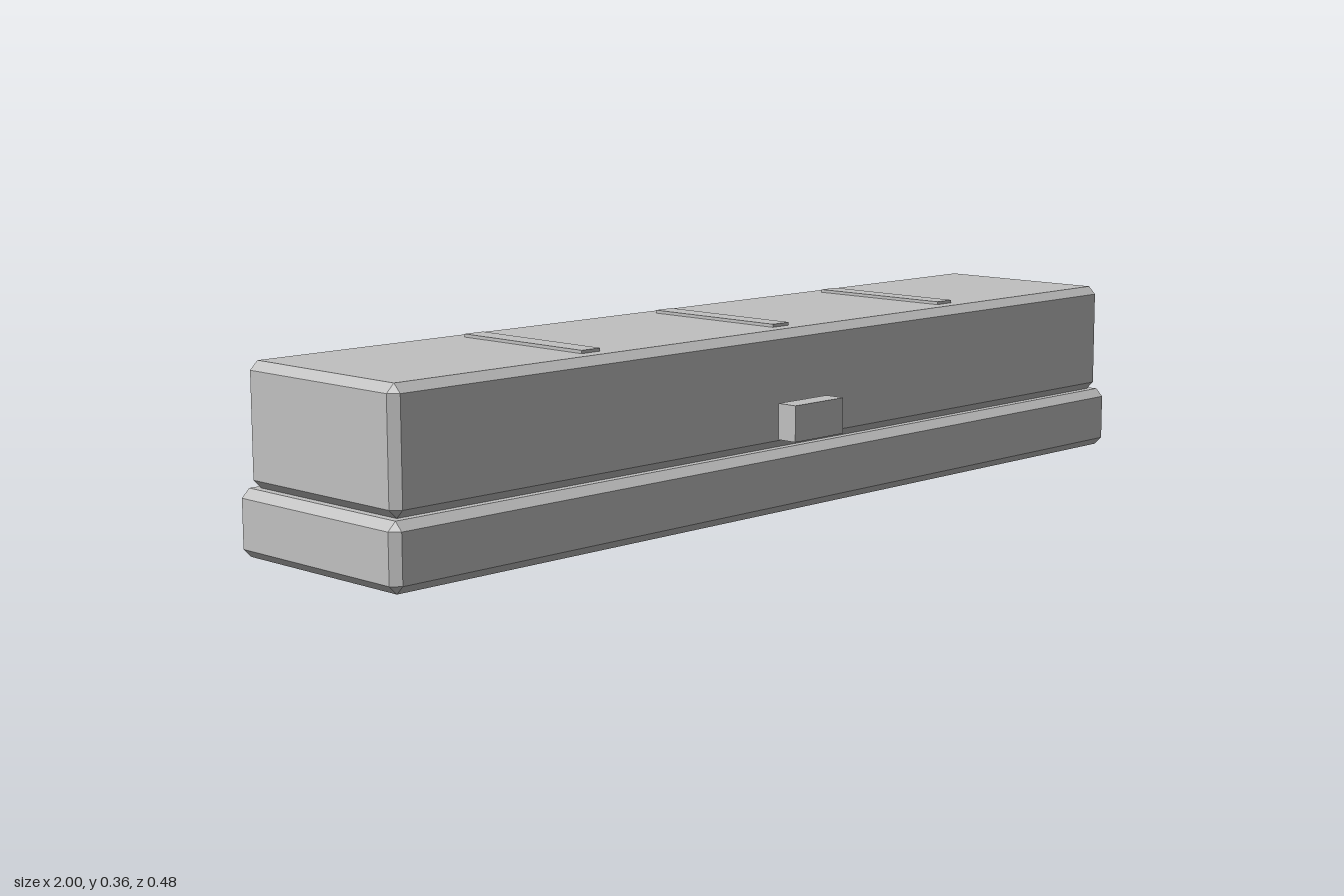
import * as THREE from 'three';
import { ConvexGeometry } from 'three/addons/geometries/ConvexGeometry.js';

// Box with all edges and corners cut by a flat chamfer
function chamferedBox(w, h, d, c) {
  const points = [];
  for (const sx of [-1, 1]) for (const sy of [-1, 1]) for (const sz of [-1, 1]) {
    const x = w / 2, y = h / 2, z = d / 2;
    points.push(
      new THREE.Vector3(sx * x, sy * (y - c), sz * (z - c)),
      new THREE.Vector3(sx * (x - c), sy * y, sz * (z - c)),
      new THREE.Vector3(sx * (x - c), sy * (y - c), sz * z)
    );
  }
  return new ConvexGeometry(points);
}

export function createModel() {
  const model = new THREE.Group();
  model.name = 'longCase';
  const grey = new THREE.MeshStandardMaterial({ color: 0xc0c0c0 });
  grey.name = 'light grey';

  const add = (name, geometry, x, y, z) => {
    const mesh = new THREE.Mesh(geometry, grey);
    mesh.name = name;
    mesh.position.set(x, y, z);
    model.add(mesh);
  };

  // Wide base and the slightly narrower body resting on it
  add('base', chamferedBox(2, 0.124, 0.44, 0.016), 0, 0.062, -0.02);
  add('body', chamferedBox(1.97, 0.227, 0.41, 0.016), 0, 0.2375, -0.02);

  // Three thin strips across the top
  for (const x of [-0.5, 0, 0.5]) {
    add('topStrip', new THREE.BoxGeometry(0.045, 0.012, 0.32), x, 0.351, -0.02);
  }

  // Latch floating just in front of the body
  add('latch', new THREE.BoxGeometry(0.137, 0.07, 0.043), 0, 0.18, 0.2195);

  return model;
}
